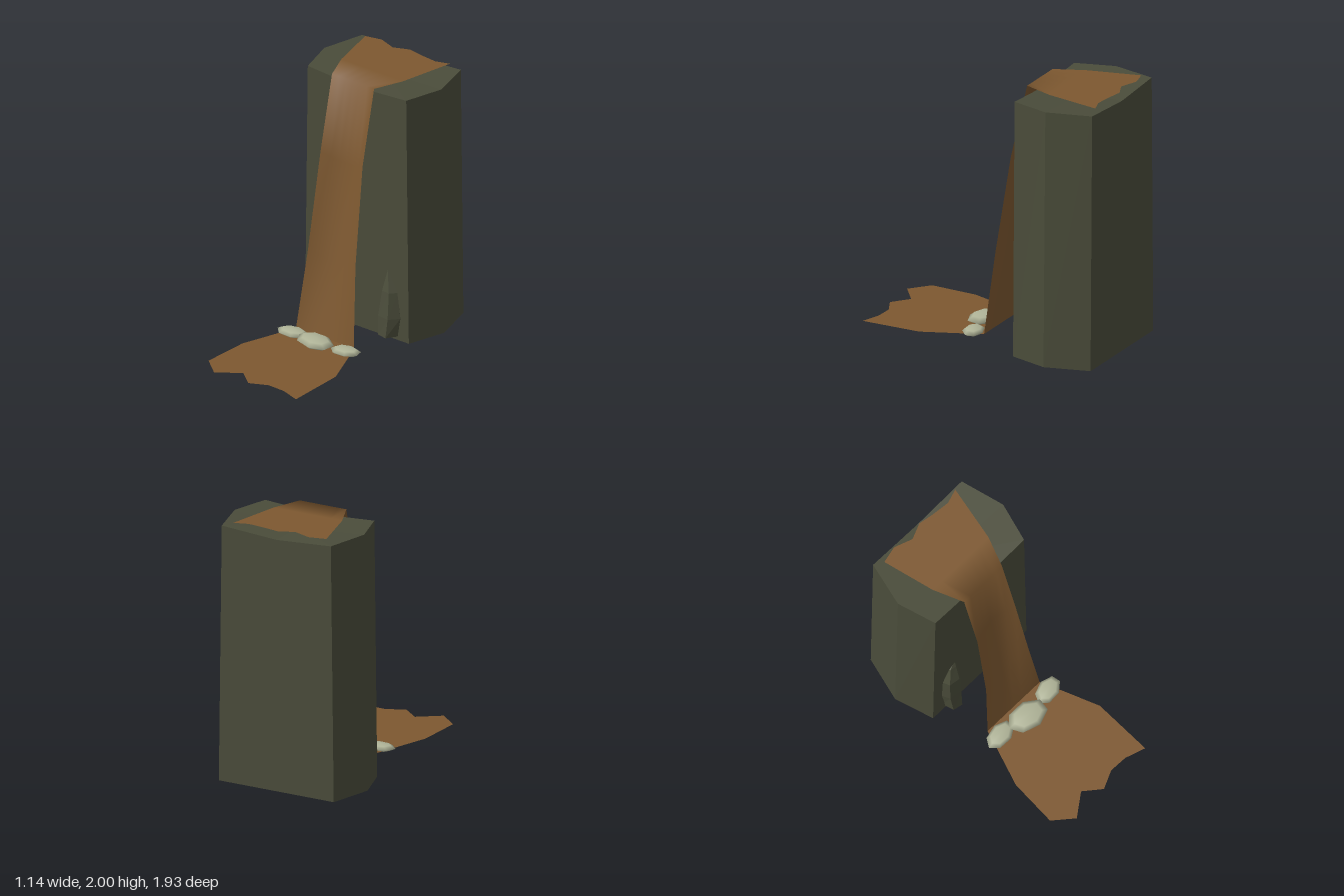
import * as THREE from 'three';

// Surface through rows of points [x, y, z]; optionally closed around, with a cap on the last or first row
function loft(rows, { closed = false, top = null, bottom = null, flat = false } = {}) {
  const n = rows[0].length, pos = rows.flat(2), idx = [];
  for (let j = 0; j < rows.length - 1; j++) {
    for (let i = 0; i < (closed ? n : n - 1); i++) {
      const a = j * n + i, b = j * n + (i + 1) % n, c = a + n, d = b + n;
      idx.push(a, c, b, c, d, b);
    }
  }
  const cap = (centre, start, up) => {
    const k = pos.length / 3;
    pos.push(...centre);
    for (let i = 0; i < n; i++) {
      const p = start + i, q = start + (i + 1) % n;
      idx.push(k, up ? q : p, up ? p : q);
    }
  };
  if (top) cap(top, (rows.length - 1) * n, true);
  if (bottom) cap(bottom, 0, false);
  let g = new THREE.BufferGeometry();
  g.setAttribute('position', new THREE.Float32BufferAttribute(pos, 3));
  g.setIndex(idx);
  if (flat) g = g.toNonIndexed();
  g.computeVertexNormals();
  return g;
}

export function createModel() {
  const group = new THREE.Group();
  const material = (name, color, side = THREE.FrontSide) =>
    Object.assign(new THREE.MeshStandardMaterial({ color, side }), { name });
  const rock = material('darkRock', 0x4a4c3a, THREE.DoubleSide);
  const mud = material('muddyWater', 0x7d5830, THREE.DoubleSide);
  const pale = material('paleStone', 0xb0b498);
  const add = (name, geometry, mat) => {
    const mesh = new THREE.Mesh(geometry, mat);
    mesh.name = name;
    group.add(mesh);
    return mesh;
  };

  // Cliff: tapering six-sided block, open below, with a slightly sunken top
  const base = [[0.57, -0.63], [0.48, -0.33], [0, -0.33], [-0.48, -0.33],
    [-0.57, -0.63], [-0.48, -0.97], [0, -0.97], [0.48, -0.97]];
  const cliffRows = [
    base.map(([x, z]) => [x, 0, z]),
    base.map(([x, z]) => [x * 0.95, x === 0 ? 1.94 : 1.97, z]),
  ];
  add('cliff', loft(cliffRows, { closed: true, top: [0, 1.94, -0.65], flat: true }), rock);

  // Rock shards leaning against the foot of the cliff: [y, centre x, centre z, radius x, radius z]
  const shard = (name, levels, tip) => {
    const rows = levels.map(([y, cx, cz, rx, rz]) => Array.from({ length: 6 }, (_, i) => {
      const a = i * Math.PI / 3 + 0.15;
      return [cx + rx * Math.cos(a), y, cz + rz * Math.sin(a)];
    }));
    const [y, x, z] = levels[0];
    add(name, loft(rows, { closed: true, top: tip, bottom: [x, y - 0.01, z], flat: true }), rock);
  };
  shard('rightShard', [[0.03, -0.29, -0.34, 0.075, 0.1], [0.3, -0.3, -0.34, 0.1, 0.09],
    [0.56, -0.305, -0.34, 0.085, 0.08], [0.71, -0.28, -0.35, 0.05, 0.04]], [-0.25, 0.77, -0.34]);
  shard('leftShard', [[0.03, 0.3, -0.34, 0.08, 0.1], [0.18, 0.305, -0.34, 0.1, 0.09],
    [0.38, 0.305, -0.34, 0.07, 0.06]], [0.285, 0.54, -0.33]);

  // Water on the cliff top and falling over its edge; the fall is hollowed along the middle
  const row = (left, right, y, z, sag = 0) => Array.from({ length: 7 }, (_, i) => {
    const u = i / 3 - 1;
    return [THREE.MathUtils.lerp(left, right, i / 6), y - sag * (1 - u * u), z - sag * (1 - u * u)];
  });
  const backEdge = [[-0.39, -0.92], [-0.26, -0.95], [-0.12, -0.9], [0, -0.95],
    [0.12, -0.93], [0.26, -0.915], [0.37, -0.95]].map(([x, z]) => [x, 2, z]);
  add('waterfall', loft([
    backEdge,
    row(-0.295, 0.28, 2, -0.52),
    row(-0.2, 0.19, 2, -0.29),
    row(-0.2, 0.19, 1.42, -0.155, 0.06),
    row(-0.225, 0.215, 0.66, -0.04, 0.06),
    row(-0.28, 0.255, 0.035, 0.03),
  ]), mud);

  // Pool spreading out to a ragged front edge
  const frontEdge = [[-0.45, 0.84], [-0.3, 0.965], [-0.13, 0.84], [0, 0.945],
    [0.14, 0.88], [0.28, 0.885], [0.435, 0.935]].map(([x, z]) => [x, 0.035, z]);
  add('pool', loft([
    row(-0.28, 0.255, 0.035, 0.03),
    row(-0.33, 0.32, 0.035, 0.18),
    row(-0.43, 0.435, 0.035, 0.47),
    frontEdge,
  ]), mud);

  // Flat stones at the foot of the fall: name, centre, radii, turn
  for (const [name, c, r, turn] of [
    ['rightStone', [-0.24, 0.05, 0.12], [0.13, 0.028, 0.08], 0.1],
    ['middleStone', [0, 0.065, 0.16], [0.165, 0.036, 0.11], -0.15],
    ['leftStone', [0.25, 0.048, 0.12], [0.12, 0.028, 0.08], 0.2],
  ]) {
    const stone = add(name, new THREE.SphereGeometry(1, 7, 4), pale);
    stone.position.set(...c);
    stone.scale.set(...r);
    stone.rotation.y = turn;
  }
  return group;
}
